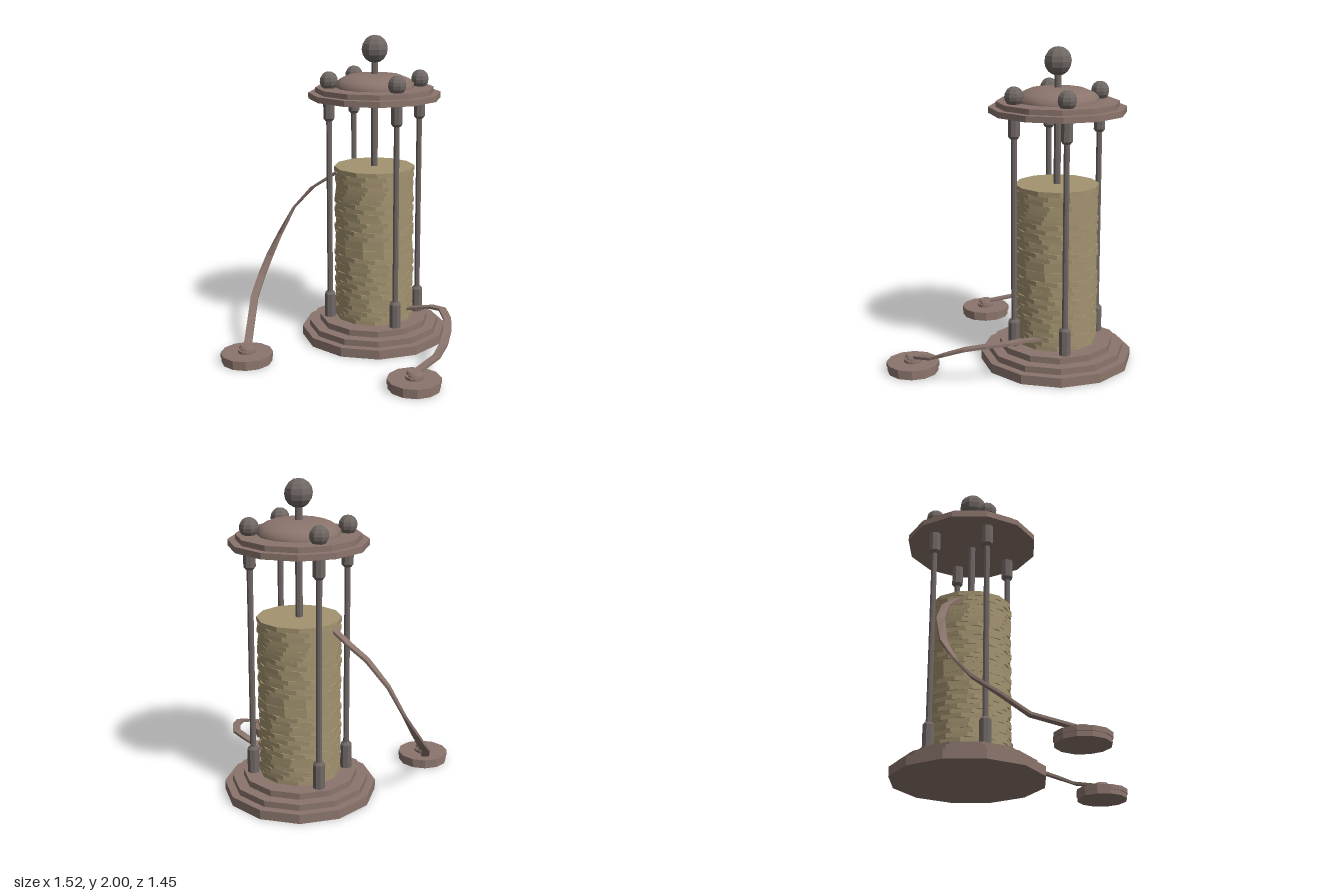
import * as THREE from 'three';

const CX = -0.01, CZ = -0.245; // axis of the tower

const flat = (color) => new THREE.MeshStandardMaterial({ color, flatShading: true });
const copper = flat(0x8b756d);
const iron = flat(0x6f6764);
const felt = flat(0xa39370);

function add(parent, name, geometry, material, x = 0, y = 0, z = 0) {
  const mesh = new THREE.Mesh(geometry, material);
  mesh.name = name;
  mesh.position.set(x, y, z);
  parent.add(mesh);
  return mesh;
}

// Upright cylinder from y0 to y1
function drum(parent, name, material, r, y0, y1, sides = 12, x = 0, z = 0, rTop = r) {
  return add(parent, name, new THREE.CylinderGeometry(rTop, r, y1 - y0, sides), material, x, (y0 + y1) / 2, z);
}

// Flat strip swept through points, its width kept horizontal
function stripGeometry(points, width, thickness) {
  const up = new THREE.Vector3(0, 1, 0), pos = [], index = [];
  const n = points.length;
  points.forEach((p, i) => {
    const t = points[Math.min(i + 1, n - 1)].clone().sub(points[Math.max(i - 1, 0)]).normalize();
    const s = up.clone().cross(t).normalize();
    const nn = t.clone().cross(s);
    for (const [a, b] of [[1, 1], [-1, 1], [-1, -1], [1, -1]]) {
      const v = p.clone().addScaledVector(s, a * width / 2).addScaledVector(nn, b * thickness / 2);
      pos.push(v.x, v.y, v.z);
    }
    if (i < n - 1) {
      for (let j = 0; j < 4; j++) {
        const a = i * 4 + j, b = i * 4 + (j + 1) % 4;
        index.push(a, b, b + 4, a, b + 4, a + 4);
      }
    }
  });
  const e = (n - 1) * 4;
  index.push(0, 3, 2, 0, 2, 1, e, e + 1, e + 2, e, e + 2, e + 3);
  const g = new THREE.BufferGeometry();
  g.setAttribute('position', new THREE.Float32BufferAttribute(pos, 3));
  g.setIndex(index);
  g.computeVertexNormals();
  return g;
}

export function createModel() {
  const model = new THREE.Group();
  model.name = 'voltaicPile';
  const tower = new THREE.Group();
  tower.name = 'tower';
  tower.position.set(CX, 0, CZ);
  model.add(tower);

  // Stepped base
  [[0.48, 0, 0.06], [0.43, 0.06, 0.1], [0.36, 0.1, 0.14]].forEach(([r, a, b]) =>
    drum(tower, 'baseStep', copper, r, a, b));

  // Stepped top plate with a shallow dome
  drum(tower, 'topPlateLower', copper, 0.425, 1.6, 1.637);
  drum(tower, 'topPlateUpper', copper, 0.38, 1.637, 1.67);
  const domeProfile = [[0.255, 1.67], [0.252, 1.695], [0.225, 1.722], [0.17, 1.745], [0.09, 1.752], [0, 1.754]]
    .map(([r, y]) => new THREE.Vector2(r, y));
  add(tower, 'dome', new THREE.LatheGeometry(domeProfile, 12),
    new THREE.MeshStandardMaterial({ color: 0x8b756d }));

  // Pile of thin discs, each turned a little differently
  const count = 34, y0 = 0.14, y1 = 1.155, h = (y1 - y0) / count;
  let seed = 7;
  const rand = () => (seed = (seed * 16807) % 2147483647) / 2147483647;
  const pile = new THREE.Group();
  pile.name = 'discPile';
  tower.add(pile);
  for (let i = 0; i < count; i++) {
    const last = i === count - 1;
    const disc = drum(pile, 'disc', felt, last ? 0.262 : 0.257 + 0.006 * rand(), y0 + i * h, y0 + (i + 1) * h);
    disc.rotation.y = last ? 0 : rand() * Math.PI / 6;
  }

  // Central rod and ball
  drum(tower, 'centreRod', iron, 0.023, 1.14, 1.86, 8);
  add(tower, 'centreBall', new THREE.SphereGeometry(0.088, 8, 8), iron, 0, 1.912, 0);

  // Four corner posts with sleeves and ball nuts
  for (const sx of [-1, 1]) for (const sz of [-1, 1]) {
    const post = new THREE.Group();
    post.name = 'post';
    post.position.set(sx * 0.238, 0, sz * 0.176);
    tower.add(post);
    drum(post, 'postRod', iron, 0.019, 0.14, 1.68, 8);
    drum(post, 'lowerSleeve', iron, 0.038, 0.14, 0.295, 8);
    drum(post, 'lowerSleeveTip', iron, 0.038, 0.295, 0.312, 8, 0, 0, 0.024);
    drum(post, 'upperSleeve', iron, 0.038, 1.475, 1.6, 8);
    drum(post, 'upperSleeveTip', iron, 0.024, 1.458, 1.475, 8, 0, 0, 0.038);
    add(post, 'ballNut', new THREE.SphereGeometry(0.06, 8, 8), iron, 0, 1.715, 0);
  }

  // Contact pads on the ground
  for (const [x, z] of [[-0.51, 0.56], [0.595, 0.455]]) {
    const pad = new THREE.Group();
    pad.name = 'contactPad';
    pad.position.set(x, 0, z);
    model.add(pad);
    drum(pad, 'padLower', copper, 0.16, 0, 0.03);
    drum(pad, 'padUpper', copper, 0.165, 0.03, 0.06);
    drum(pad, 'terminalFoot', copper, 0.055, 0.06, 0.078);
    drum(pad, 'terminalNeck', copper, 0.04, 0.078, 0.09);
    drum(pad, 'terminalCap', copper, 0.05, 0.09, 0.108, 12, 0, 0, 0.04);
  }

  // Strip conductors from the pile to the pads
  const strip = (name, pts) =>
    add(model, name, stripGeometry(pts.map((p) => new THREE.Vector3(...p)), 0.05, 0.016), copper);
  strip('upperConductor', [
    [-0.25, 1.11, -0.25], [-0.36, 1.035, -0.258], [-0.48, 0.955, -0.252], [-0.615, 0.805, -0.235],
    [-0.7, 0.62, -0.185], [-0.735, 0.48, -0.1], [-0.738, 0.37, 0], [-0.705, 0.265, 0.15],
    [-0.64, 0.155, 0.3], [-0.51, 0.095, 0.55]]);
  strip('lowerConductor', [
    [0.22, 0.205, -0.25], [0.42, 0.258, -0.222], [0.51, 0.267, -0.185], [0.59, 0.255, -0.07],
    [0.64, 0.23, 0.05], [0.665, 0.185, 0.17], [0.66, 0.14, 0.27], [0.6, 0.095, 0.44]]);

  return model;
}
